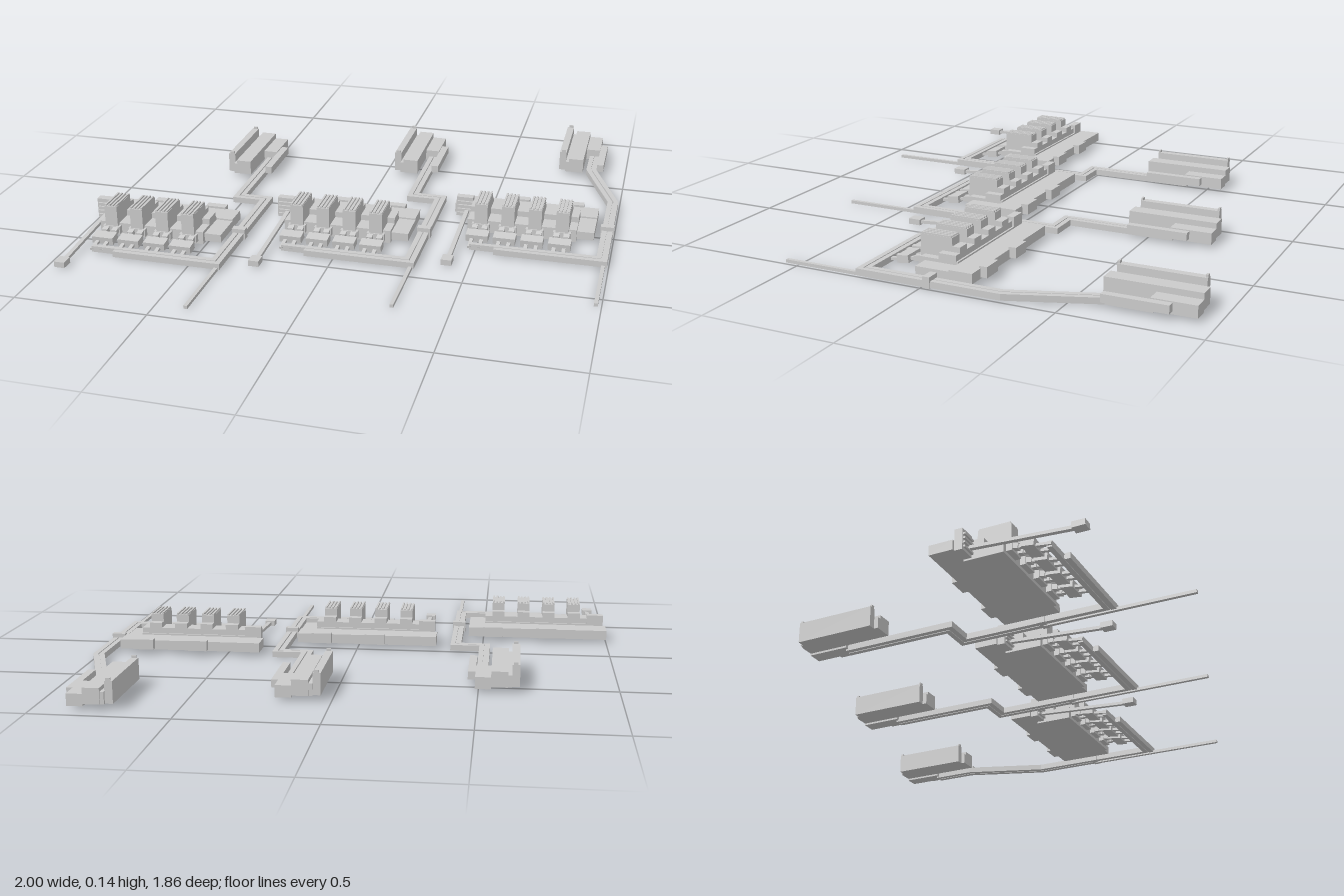
import * as THREE from 'three';

const material = new THREE.MeshStandardMaterial({ color: 0xcccccc, flatShading: true });

function add(parent, name, geometry) {
  const mesh = new THREE.Mesh(geometry, material);
  mesh.name = name;
  parent.add(mesh);
  return mesh;
}

// Box given by its limits along each axis
function box(parent, name, x0, x1, y0, y1, z0, z1) {
  const mesh = add(parent, name, new THREE.BoxGeometry(x1 - x0, y1 - y0, z1 - z0));
  mesh.position.set((x0 + x1) / 2, (y0 + y1) / 2, (z0 + z1) / 2);
  return mesh;
}

// Square bar between two points
function bar(parent, name, a, b, width, height) {
  const p = new THREE.Vector3(...a), q = new THREE.Vector3(...b);
  const mesh = add(parent, name, new THREE.BoxGeometry(width, height, p.distanceTo(q)));
  mesh.position.copy(p).add(q).multiplyScalar(0.5);
  mesh.lookAt(q);
  return mesh;
}

// Plan path shifted sideways with mitred corners
function offsetPath(points, d) {
  return points.map((p, i) => {
    const a = points[Math.max(i - 1, 0)], b = points[Math.min(i + 1, points.length - 1)];
    const normal = (u, v) => new THREE.Vector2(u.y - v.y, v.x - u.x).normalize();
    const n1 = i > 0 ? normal(a, p) : normal(p, b);
    const n2 = i < points.length - 1 ? normal(p, b) : n1;
    const m = n1.clone().add(n2).normalize();
    return p.clone().addScaledVector(m, d / m.dot(n1));
  });
}

// Flat strand following a plan path (x, z)
function strand(parent, name, path, d, width, y0, y1) {
  const pts = path.map(([x, z]) => new THREE.Vector2(x, -z));
  const outline = [...offsetPath(pts, d - width / 2), ...offsetPath(pts, d + width / 2).reverse()];
  const geo = new THREE.ExtrudeGeometry(new THREE.Shape(outline), { depth: y1 - y0, bevelEnabled: false });
  geo.rotateX(-Math.PI / 2).translate(0, y0, 0);
  add(parent, name, geo);
}

function makeBank() {
  const g = new THREE.Group();
  // Rear shelf with its right return and two back lugs
  box(g, 'rearShelf', -0.315, 0.245, 0.015, 0.052, 0.025, 0.115);
  box(g, 'shelfReturn', 0.18, 0.245, 0.015, 0.046, 0.115, 0.245);
  for (const x of [-0.11, 0.105]) box(g, 'backLug', x, x + 0.08, 0.02, 0.06, 0, 0.03);
  // Main housing
  box(g, 'housing', -0.24, 0.18, 0.008, 0.058, 0.115, 0.262);
  box(g, 'housingRidge', -0.24, 0.18, 0.058, 0.08, 0.122, 0.19);
  box(g, 'endBlock', -0.305, -0.24, 0.015, 0.095, 0.115, 0.145);
  for (let i = 0; i < 4; i++) {
    box(g, 'endBlockRib', -0.3, -0.24, 0.025 + i * 0.016, 0.032 + i * 0.016, 0.145, 0.153);
  }
  // Four towers, each with comb, port, twin leads and plug
  for (let i = 0; i < 4; i++) {
    const x = -0.186 + i * 0.104;
    const t = new THREE.Group();
    t.name = 'tower';
    g.add(t);
    box(t, 'towerBody', x - 0.025, x + 0.025, 0.03, 0.13, 0.152, 0.277);
    for (let k = 0; k < 4; k++) {
      const cx = x - 0.0205 + k * 0.0137;
      box(t, 'combTooth', cx - 0.0035, cx + 0.0035, 0.13, 0.136, 0.155, 0.274);
    }
    box(t, 'towerStep', x - 0.025, x + 0.025, 0.06, 0.1, 0.122, 0.152);
    box(t, 'port', x - 0.034, x + 0.034, 0.02, 0.05, 0.255, 0.283);
    for (const s of [-0.019, 0.019]) {
      bar(t, 'leadCollar', [x + s, 0.04, 0.275], [x + s, 0.034, 0.303], 0.022, 0.02);
      bar(t, 'lead', [x + s, 0.036, 0.29], [x + s, 0.026, 0.345], 0.014, 0.012);
      bar(t, 'tailLead', [x + s, 0.024, 0.35], [x + s, 0.015, 0.42], 0.014, 0.01);
    }
    const plug = box(t, 'plug', x - 0.042, x + 0.042, 0.016, 0.044, 0.32, 0.366);
    plug.rotation.x = 0.12;
  }
  // Left arm with foot
  bar(g, 'sideArm', [-0.262, 0.04, 0.13], [-0.262, 0.014, 0.53], 0.016, 0.012);
  box(g, 'armFoot', -0.284, -0.244, 0.004, 0.026, 0.522, 0.57);
  return g;
}

// Stepped box at the rear end of the cable
function makeRearBox() {
  const g = new THREE.Group();
  box(g, 'tallWall', 0.038, 0.066, 0.02, 0.1, -0.735, -0.422);
  for (const z of [-0.735, -0.43]) box(g, 'wallTab', 0.045, 0.062, 0.1, 0.11, z, z + 0.008);
  box(g, 'wallLedge', 0.066, 0.08, 0.02, 0.064, -0.745, -0.405);
  box(g, 'middleStep', 0.08, 0.14, 0.02, 0.078, -0.75, -0.405);
  box(g, 'cableInlet', 0.14, 0.197, 0.012, 0.056, -0.75, -0.59);
  box(g, 'sideFin', 0.197, 0.225, 0.022, 0.052, -0.665, -0.43);
  return g;
}

export function createModel() {
  const model = new THREE.Group();
  model.name = 'connectorBanks';
  const elbow = [[0.175, -0.165], [0.175, -0.6]];
  const slanted = [[0.29, -0.11], [0.175, -0.43], [0.175, -0.6]];
  const layouts = [
    { name: 'leftBank', x: -0.685, z: 0.187, slant: false },
    { name: 'middleBank', x: 0, z: 0, slant: false },
    { name: 'rightBank', x: 0.683, z: -0.185, slant: true },
  ];
  for (const { name, x, z, slant } of layouts) {
    const unit = new THREE.Group();
    unit.name = name;
    unit.position.set(x, 0, z);
    model.add(unit);
    const bank = makeBank();
    bank.name = 'bank';
    const rear = makeRearBox();
    rear.name = 'rearBox';
    unit.add(bank, rear);
    // Paired cable: front run, right-hand run, then back to the rear box
    const route = slant ? slanted : [[0.29, -0.165], ...elbow];
    const starts = [-0.11, -0.205];
    [-0.0115, 0.0115].forEach((d, i) => {
      strand(unit, 'cableStrand', [[starts[i], 0.422], [0.29, 0.422], ...route], d, 0.019, 0.005, 0.028);
    });
    strand(unit, 'cableCore', [[-0.11, 0.422], [0.29, 0.422], ...route], 0, 0.012, 0.008, 0.022);
    box(unit, 'cableClip', 0.264, 0.316, 0.003, 0.044, 0.148, 0.175);
    // Straight tail towards the front
    box(unit, 'tailRod', 0.29, 0.304, 0, 0.012, 0.16, 0.74);
  }
  return model;
}
